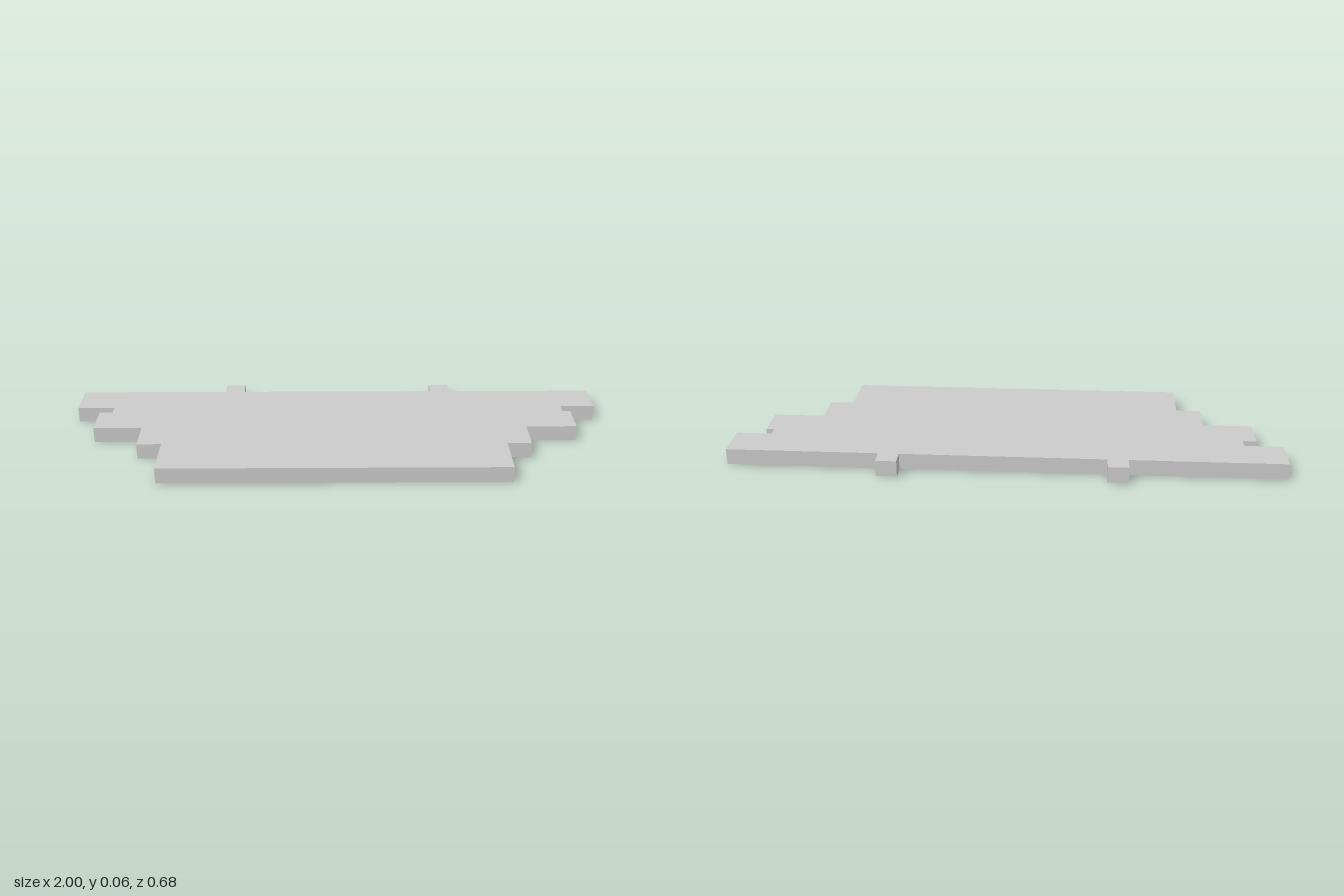
import * as THREE from 'three';

const material = new THREE.MeshStandardMaterial({ color: 0xcccccc, flatShading: true });

// stepped plan outline as [x, z], left side front to back then right side
const OUTLINE = [
  [1, -0.28], [1, -0.14], [0.87, -0.14], [0.87, -0.1], [0.9, -0.1], [0.9, 0.03],
  [0.71, 0.03], [0.71, 0.16], [0.62, 0.16], [0.62, 0.34],
  [-0.64, 0.34], [-0.64, 0.16], [-0.73, 0.16], [-0.73, 0.03], [-0.91, 0.03],
  [-0.91, -0.1], [-0.86, -0.1], [-0.86, -0.14], [-1, -0.14], [-1, -0.28],
];
// shallow rectangular recess in the underside
const RECESS = [[-0.26, -0.1], [0.225, -0.1], [0.225, 0.02], [-0.26, 0.02]];

const BOTTOM = 0.003, RECESS_TOP = 0.006, TOP = 0.062;
const toPoints = (list) => list.map(([x, z]) => new THREE.Vector2(x, -z));

function slab(name, y0, y1, hole) {
  const shape = new THREE.Shape(toPoints(OUTLINE));
  if (hole) shape.holes.push(new THREE.Path(toPoints(hole)));
  const geometry = new THREE.ExtrudeGeometry(shape, { depth: y1 - y0, bevelEnabled: false });
  geometry.rotateX(-Math.PI / 2).translate(0, y0, 0);
  const mesh = new THREE.Mesh(geometry, material);
  mesh.name = name;
  return mesh;
}

function box(name, [x0, x1], [y0, y1], [z0, z1]) {
  const mesh = new THREE.Mesh(new THREE.BoxGeometry(x1 - x0, y1 - y0, z1 - z0), material);
  mesh.position.set((x0 + x1) / 2, (y0 + y1) / 2, (z0 + z1) / 2);
  mesh.name = name;
  return mesh;
}

export function createModel() {
  const model = new THREE.Group();
  model.name = 'steppedPlate';

  // main plate, with a thin underside layer that carries the recess
  model.add(slab('plate', RECESS_TOP, TOP));
  model.add(slab('underside', BOTTOM, RECESS_TOP, RECESS));

  // two back tabs, each with a thin foot just below the plate
  for (const [side, x] of [['right', [-0.44, -0.365]], ['left', [0.375, 0.45]]]) {
    model.add(box(`${side}Tab`, x, [BOTTOM, TOP], [-0.34, -0.28]));
    model.add(box(`${side}TabFoot`, x, [0, BOTTOM], [-0.333, -0.28]));
  }
  return model;
}
